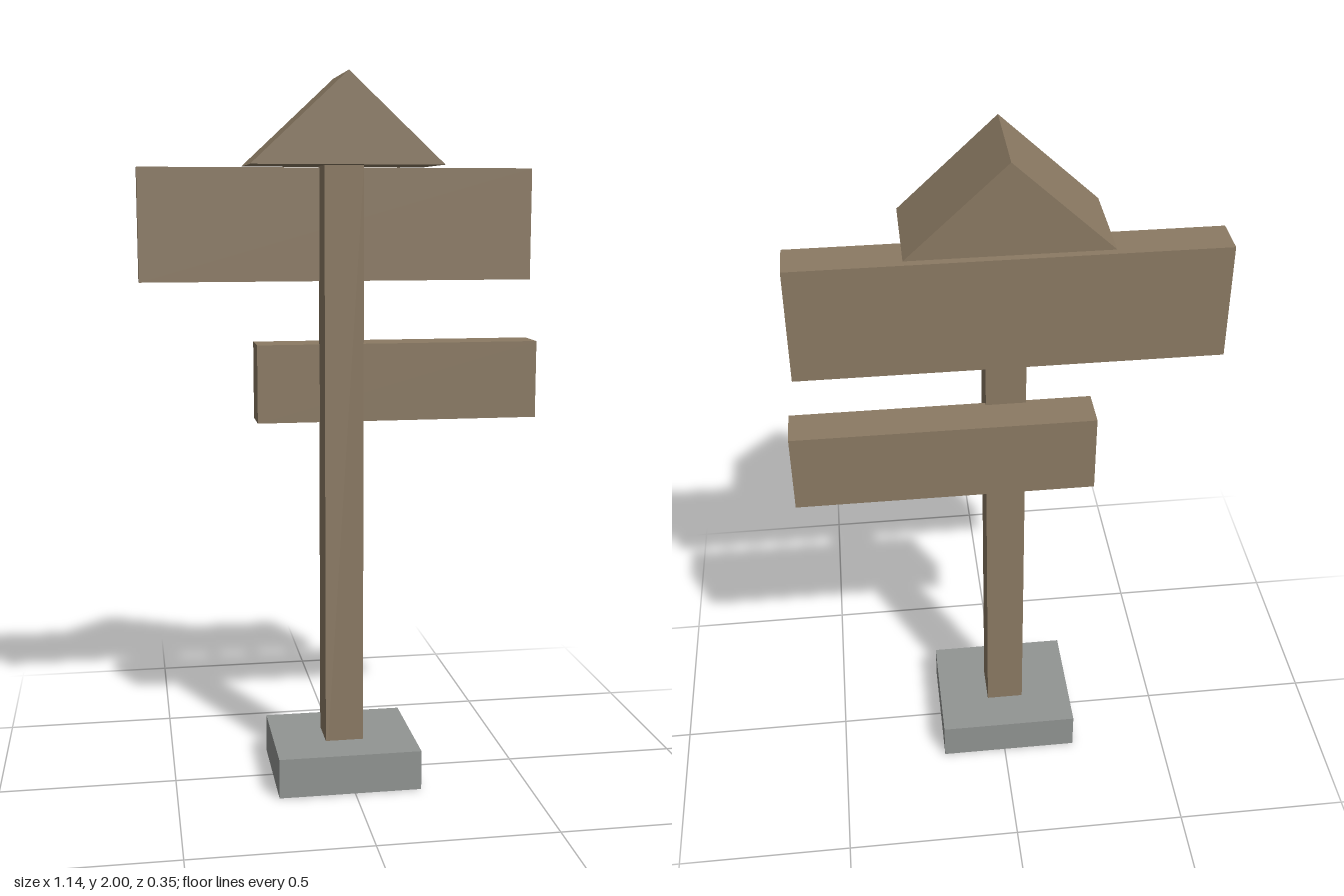
import * as THREE from 'three';

export function createModel() {
  const model = new THREE.Group();
  const wood = new THREE.MeshStandardMaterial({ color: 0x8b7a63 });
  wood.name = 'weathered wood';
  const stone = new THREE.MeshStandardMaterial({ color: 0x929593 });
  stone.name = 'grey stone';

  // Box given by its extents on each axis
  function addBox(name, material, [x0, x1], [y0, y1], [z0, z1]) {
    const mesh = new THREE.Mesh(new THREE.BoxGeometry(x1 - x0, y1 - y0, z1 - z0), material);
    mesh.position.set((x0 + x1) / 2, (y0 + y1) / 2, (z0 + z1) / 2);
    mesh.name = name;
    model.add(mesh);
  }

  // Footing, with the post passing through to the ground
  addBox('base', stone, [-0.217, 0.19], [0.002, 0.116], [-0.175, 0.175]);
  addBox('post', wood, [-0.068, 0.041], [0, 1.758], [-0.057, 0.057]);

  // Sign boards on the back of the post
  addBox('upperBoard', wood, [-0.571, 0.543], [1.438, 1.752], [-0.153, -0.04]);
  addBox('lowerBoard', wood, [-0.246, 0.569], [1.036, 1.259], [-0.161, -0.046]);

  // Gabled roof
  const gable = new THREE.Shape([
    new THREE.Vector2(-0.277, 1.756),
    new THREE.Vector2(0.249, 1.756),
    new THREE.Vector2(-0.014, 2),
  ]);
  const roof = new THREE.Mesh(
    new THREE.ExtrudeGeometry(gable, { depth: 0.277, bevelEnabled: false }),
    wood
  );
  roof.position.z = -0.139;
  roof.name = 'roof';
  model.add(roof);

  return model;
}
